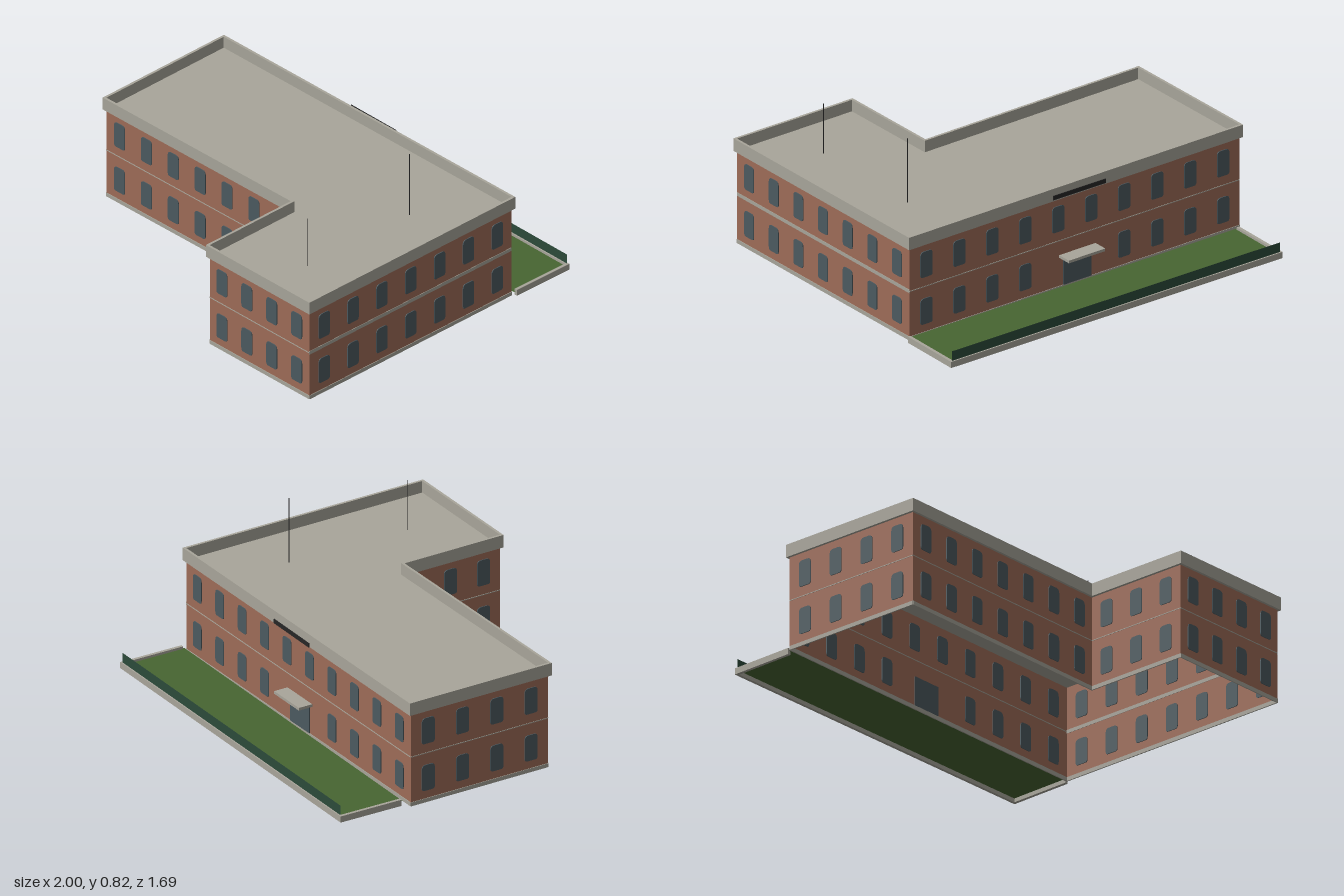
import * as THREE from 'three';

const paint = (name, color, side = THREE.FrontSide) => {
  const m = new THREE.MeshStandardMaterial({ color, side });
  m.name = name;
  return m;
};

export function createModel() {
  const brick = paint('brick', 0x9e6c58, THREE.DoubleSide);
  const stone = paint('stone', 0xa8a59a, THREE.DoubleSide);
  const glass = paint('glass', 0x4c5a60);
  const grassGreen = paint('grass green', 0x476532, THREE.DoubleSide);
  const hedgeGreen = paint('hedge green', 0x2c4a3a, THREE.DoubleSide);
  const darkMetal = paint('dark metal', 0x262626);

  const model = new THREE.Group();
  model.name = 'building';

  const add = (parent, name, geometry, material, x = 0, y = 0, z = 0) => {
    const mesh = new THREE.Mesh(geometry, material);
    mesh.name = name;
    mesh.position.set(x, y, z);
    parent.add(mesh);
    return mesh;
  };
  const box = (parent, name, w, h, d, material, x, y, z) =>
    add(parent, name, new THREE.BoxGeometry(w, h, d), material, x, y, z);

  // L-shaped outline of the parapet, and the wall line just inside it
  const outline = [[-1, -0.49], [-0.985, 0.305], [0.285, 0.285], [0.295, 0.84], [1, 0.835], [0.98, -0.51]];
  const inward = [[1, 1], [1, -1], [1, -1], [1, -1], [-1, -1], [-1, 1]];
  const wallLine = outline.map(([x, z], i) => [x + inward[i][0] * 0.013, z + inward[i][1] * 0.013]);
  const plan = (points) => points.map(([x, z]) => new THREE.Vector2(x, -z));

  // Window with a softly arched head and small rounded lower corners
  const w = 0.036, h = 0.067;
  const pane = new THREE.Shape();
  pane.moveTo(-w + 0.012, -h);
  pane.lineTo(w - 0.012, -h);
  pane.quadraticCurveTo(w, -h, w, -h + 0.016);
  pane.lineTo(w, h - 0.022);
  pane.quadraticCurveTo(w, h, w - 0.02, h);
  pane.lineTo(-w + 0.02, h);
  pane.quadraticCurveTo(-w, h, -w, h - 0.022);
  pane.lineTo(-w, -h + 0.016);
  pane.quadraticCurveTo(-w, -h, -w + 0.012, -h);
  const windowGeometry = new THREE.ExtrudeGeometry(pane, { depth: 0.008, bevelEnabled: false, curveSegments: 4 });
  windowGeometry.translate(0, 0, -0.004);

  // One facade per side: local x runs along the wall, local z points outwards
  const wallHeight = 0.485;
  const facades = [
    { name: 'leftEndFacade', windows: 4, band: 0.004 },
    { name: 'frontFacade', windows: 7, band: 0.004 },
    { name: 'courtFacade', windows: 3, band: 0.004 },
    { name: 'wingFacade', windows: 4, band: 0.004 },
    { name: 'sideFacade', windows: 7, band: 0.018 },
    { name: 'backFacade', windows: 10, band: 0.004, door: true },
  ];
  facades.forEach(({ name, windows, band, door }, i) => {
    const [ax, az] = wallLine[i];
    const [bx, bz] = wallLine[(i + 1) % wallLine.length];
    const length = Math.hypot(bx - ax, bz - az);
    const side = new THREE.Group();
    side.name = name;
    side.position.set((ax + bx) / 2, 0, (az + bz) / 2);
    side.rotation.y = Math.atan2(az - bz, bx - ax);
    model.add(side);

    add(side, 'wall', new THREE.PlaneGeometry(length, wallHeight), brick, 0, wallHeight / 2, 0);
    box(side, 'plinth', length, 0.02, 0.006, stone, 0, 0.01, 0);
    box(side, 'floorBand', length, band, 0.004, stone, 0, 0.256, 0);

    for (let k = 0; k < windows; k++) {
      const x = ((k + 0.5) / windows - 0.5) * length;
      add(side, 'upperWindow', windowGeometry, glass, x, 0.373, 0);
      if (!(door && Math.abs(x) < 0.12)) add(side, 'lowerWindow', windowGeometry, glass, x, 0.128, 0);
    }
    // Entrance under a flat canopy
    if (door) {
      box(side, 'door', 0.165, 0.15, 0.008, glass, 0.015, 0.095, 0);
      box(side, 'canopy', 0.215, 0.014, 0.075, stone, 0.015, 0.175, 0.04);
    }
  });

  // Parapet ring
  const ring = new THREE.Shape(plan(outline));
  ring.holes.push(new THREE.Path(plan(wallLine)));
  const parapet = new THREE.ExtrudeGeometry(ring, { depth: 0.065, bevelEnabled: false });
  parapet.rotateX(-Math.PI / 2);
  add(model, 'parapet', parapet, stone, 0, 0.48, 0);

  // Flat roof deck
  const deck = new THREE.ShapeGeometry(new THREE.Shape(plan(wallLine)));
  deck.rotateX(-Math.PI / 2);
  add(model, 'roofDeck', deck, stone, 0, 0.485, 0);

  // Blank name plate on the back parapet
  box(model, 'signPlate', 0.31, 0.022, 0.004, darkMetal, -0.01, 0.513, -0.527);

  // Roof masts
  for (const [z, top] of [[-0.105, 0.82], [0.55, 0.745]]) {
    add(model, 'mast', new THREE.CylinderGeometry(0.002, 0.002, top - 0.485, 6), darkMetal, 0.685, (top + 0.485) / 2, z);
  }

  // Lawn with a kerb on three sides and a hedge along the outer edge
  const lawn = new THREE.PlaneGeometry(1.93, 0.34);
  lawn.rotateX(-Math.PI / 2);
  add(model, 'lawn', lawn, grassGreen, 0.014, 0.02, -0.672);
  box(model, 'backKerb', 1.95, 0.032, 0.014, stone, 0.014, 0.016, -0.843);
  for (const x of [-0.953, 0.981]) box(model, 'sideKerb', 0.016, 0.032, 0.338, stone, x, 0.016, -0.681);
  add(model, 'hedge', new THREE.PlaneGeometry(1.93, 0.05), hedgeGreen, 0.014, 0.057, -0.843);

  return model;
}
